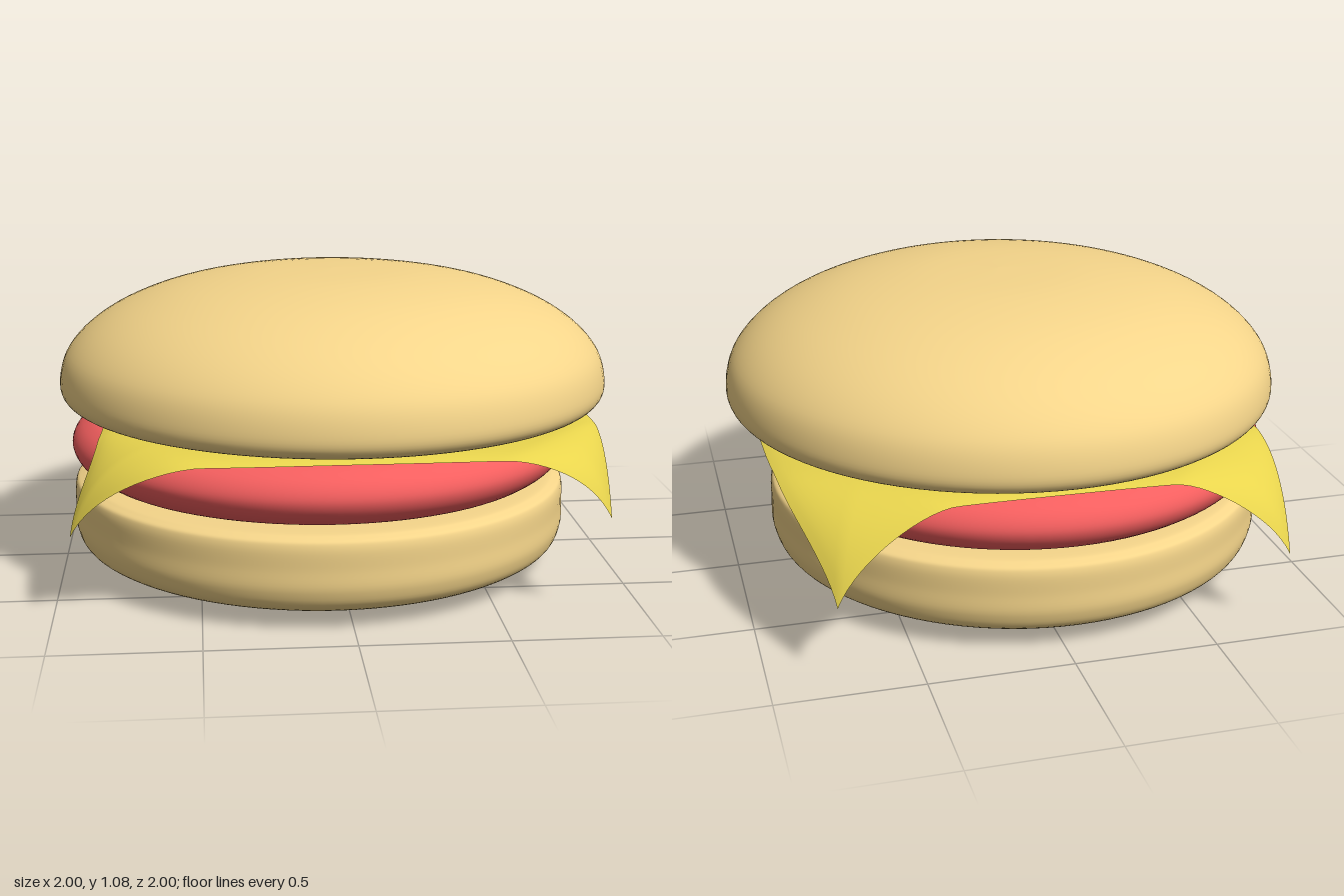
import * as THREE from 'three';

const BUN = 0xf5d58a, PATTY = 0xf55f5f, CHEESE = 0xe8d44d;

// Round layer: a smooth closed curve through [radius, height] points, turned about y
function layer(name, color, points, x = 0, z = 0) {
  const curve = new THREE.SplineCurve(points.map(p => new THREE.Vector2(...p)));
  const profile = curve.getPoints(60);
  profile.forEach(p => { p.x = Math.max(p.x, 0); });
  const mesh = new THREE.Mesh(
    new THREE.LatheGeometry(profile, 96),
    new THREE.MeshStandardMaterial({ color })
  );
  mesh.name = name;
  mesh.position.set(x, 0, z);
  return mesh;
}

// Square slice spanned between four edge curves, with drooping corners
function cheeseSlice() {
  const edge = pts => new THREE.SplineCurve(pts.map(p => new THREE.Vector2(...p)));
  const A = [-0.93, 0.72], B = [0.87, 0.79], C = [0.77, -0.92], D = [-0.77, -0.95];
  const front = edge([A, [-0.6, 0.83], [0, 0.84], [0.6, 0.83], B]);
  const back = edge([D, [-0.45, -0.9], [0, -0.88], [0.45, -0.88], C]);
  const left = edge([D, [-0.82, -0.6], [-0.83, 0], [-0.85, 0.5], A]);
  const right = edge([C, [0.89, -0.55], [0.91, 0], [0.905, 0.45], B]);
  const lerp = THREE.MathUtils.lerp;

  const geo = new THREE.PlaneGeometry(2, 2, 48, 48);
  geo.rotateX(-Math.PI / 2);
  const pos = geo.attributes.position;
  for (let i = 0; i < pos.count; i++) {
    const u = pos.getX(i), v = pos.getZ(i);
    const s = THREE.MathUtils.clamp((u + 1) / 2, 0, 1);
    const t = THREE.MathUtils.clamp((v + 1) / 2, 0, 1);
    const b = back.getPoint(s), f = front.getPoint(s);
    const l = left.getPoint(t), r = right.getPoint(t);
    // blend the opposite edges, less the corner blend
    const at = k => {
      const c = k === 'x' ? 0 : 1;
      return lerp(b[k], f[k], t) + lerp(l[k], r[k], s)
        - lerp(lerp(D[c], C[c], s), lerp(A[c], B[c], s), t);
    };
    // slight sag along the edges, deep droop at the corners
    const sag = 0.03 * Math.pow(Math.max(Math.abs(u), Math.abs(v)), 6);
    const depth = lerp(lerp(0.28, 0.29, s), lerp(0.26, 0.22, s), t);
    const corner = Math.max(0, (Math.abs(u * v) - 0.4) / 0.6);
    pos.setXYZ(i, at('x'), 0.589 - sag - depth * Math.pow(corner, 1.5), at('y'));
  }
  geo.computeVertexNormals();
  const mesh = new THREE.Mesh(
    geo,
    new THREE.MeshStandardMaterial({ color: CHEESE, side: THREE.DoubleSide })
  );
  mesh.name = 'cheeseSlice';
  return mesh;
}

export function createModel() {
  const group = new THREE.Group();
  group.name = 'burger';
  group.add(
    layer('bottomBun', BUN, [
      [0, 0], [0.5, 0.01], [0.75, 0.032], [0.87, 0.075], [0.908, 0.14],
      [0.91, 0.22], [0.908, 0.295], [0.885, 0.322], [0.8, 0.333], [0.4, 0.335], [0, 0.335]
    ], -0.05, -0.01),
    layer('patty', PATTY, [
      [0, 0.33], [0.4, 0.33], [0.75, 0.335], [0.87, 0.375], [0.915, 0.45],
      [0.87, 0.522], [0.75, 0.555], [0.4, 0.56], [0, 0.56]
    ], -0.05, -0.015),
    cheeseSlice(),
    layer('topBun', BUN, [
      [0, 0.592], [0.4, 0.592], [0.78, 0.594], [0.92, 0.603], [0.985, 0.63], [1, 0.69],
      [0.97, 0.79], [0.88, 0.885], [0.74, 0.965], [0.55, 1.027], [0.3, 1.065], [0, 1.075]
    ])
  );
  return group;
}
